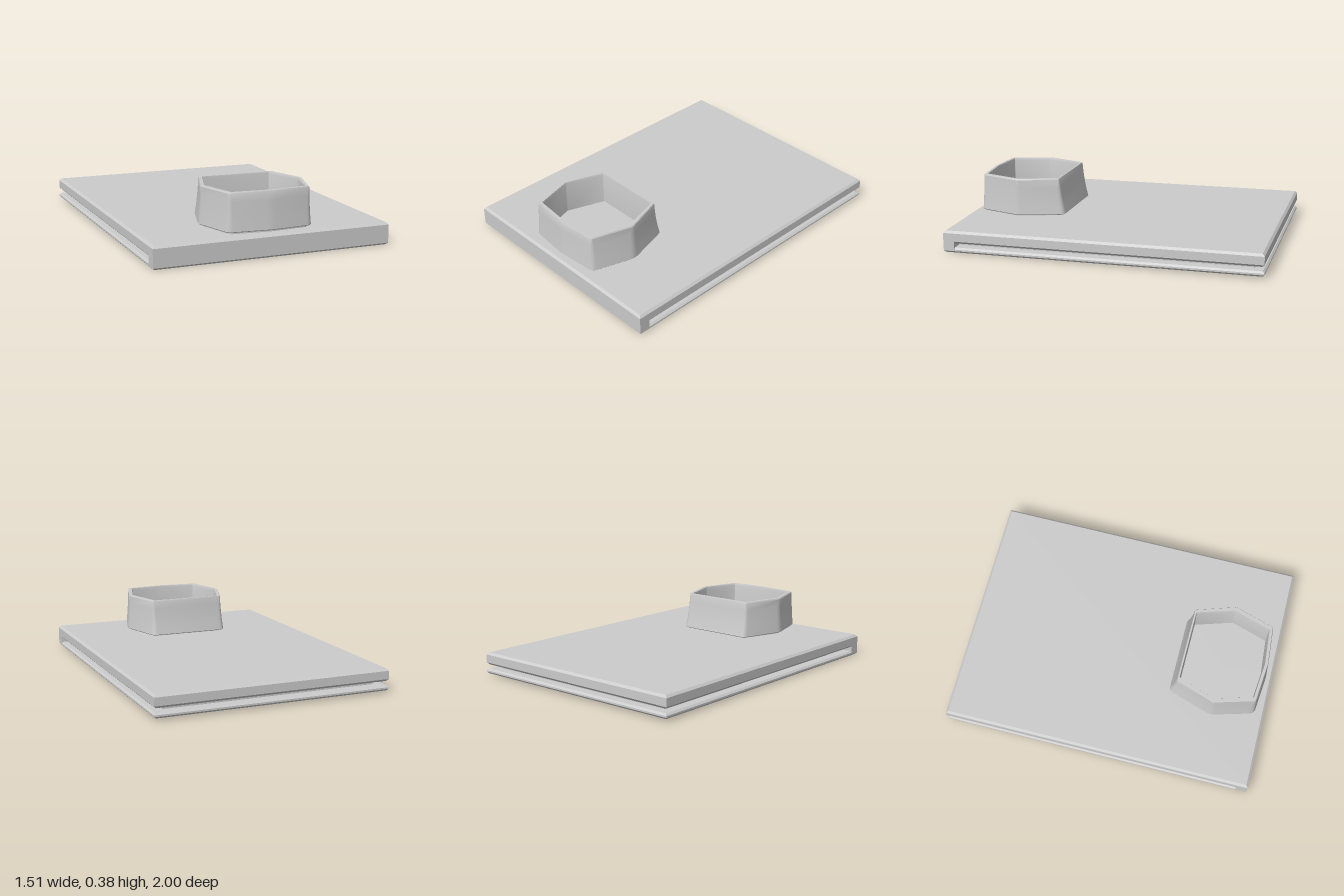
import * as THREE from 'three';
import { toCreasedNormals } from 'three/addons/utils/BufferGeometryUtils.js';

const material = new THREE.MeshStandardMaterial({ color: 0xcccccc });

function addMesh(parent, name, geometry) {
  const mesh = new THREE.Mesh(geometry, material);
  mesh.name = name;
  parent.add(mesh);
  return mesh;
}

// Flat rectangular plate between two heights, with chamfered rims
function plate(width, depth, y0, y1, bevel) {
  const x = width / 2 - bevel, z = depth / 2 - bevel;
  const shape = new THREE.Shape([
    new THREE.Vector2(-x, -z), new THREE.Vector2(x, -z),
    new THREE.Vector2(x, z), new THREE.Vector2(-x, z),
  ]);
  const geometry = new THREE.ExtrudeGeometry(shape, {
    depth: y1 - y0 - 2 * bevel, bevelEnabled: true,
    bevelThickness: bevel, bevelSize: bevel, bevelSegments: 1,
  });
  return geometry.rotateX(-Math.PI / 2).translate(0, y0 + bevel, 0);
}

function box(w, h, d, x, y, z) {
  return new THREE.BoxGeometry(w, h, d).translate(x, y, z);
}

// Cup outline in plan (x, z), measured from the cup's centre
const outline = [
  [-0.255, -0.29], [0.255, -0.29], [0.345, 0], [0.265, 0.27],
  [0, 0.293], [-0.265, 0.27], [-0.345, 0],
].map(([x, z]) => new THREE.Vector2(x, z));

// One closed cross-section: scaled outline with each corner rounded
function ring({ y, sx, back, front, round }) {
  const corners = outline.map(p => new THREE.Vector2(p.x * sx, p.y * (p.y < 0 ? back : front)));
  const points = [];
  corners.forEach((c, i) => {
    const n = corners.length;
    const toward = q => c.clone().add(q.clone().sub(c).setLength(round));
    const curve = new THREE.QuadraticBezierCurve(
      toward(corners[(i + n - 1) % n]), c, toward(corners[(i + 1) % n]));
    curve.getPoints(4).forEach(p => points.push([p.x, y, p.y]));
  });
  return points;
}

// Skin a stack of rings and close both ends with a fan
function loft(sections) {
  const rings = sections.map(ring), n = rings[0].length;
  const positions = rings.flat(2), index = [];
  for (let r = 0; r < rings.length - 1; r++) {
    for (let i = 0; i < n; i++) {
      const a = r * n + i, b = r * n + (i + 1) % n;
      index.push(a, a + n, b, b, a + n, b + n);
    }
  }
  const last = (rings.length - 1) * n, bottom = rings.length * n, top = bottom + 1;
  positions.push(0, sections[0].y, 0, 0, sections.at(-1).y, 0);
  for (let i = 0; i < n; i++) {
    const j = (i + 1) % n;
    index.push(bottom, i, j, top, last + j, last + i);
  }
  const geometry = new THREE.BufferGeometry();
  geometry.setAttribute('position', new THREE.Float32BufferAttribute(positions, 3));
  geometry.setIndex(index);
  return toCreasedNormals(geometry, 0.45);
}

export function createModel() {
  const model = new THREE.Group();
  model.name = 'slabWithCup';

  // Slab, very slightly turned and tilted
  const slab = new THREE.Group();
  slab.name = 'slab';
  slab.rotation.set(0.0075, 0.01, 0);
  slab.position.y = 0.0095;
  model.add(slab);
  addMesh(slab, 'bottomPlate', plate(1.495, 1.985, 0, 0.032, 0.011));
  addMesh(slab, 'topPlate', plate(1.495, 1.985, 0.058, 0.137, 0.014));
  // Recessed core leaves a groove along the sides and back
  addMesh(slab, 'core', box(1.35, 0.06, 1.85, 0, 0.045, 0));
  // Solid strip closes the front
  addMesh(slab, 'frontStrip', box(1.495, 0.112, 0.07, 0, 0.067, 0.9575));

  // Flared, seven-cornered open cup standing on a narrow foot
  const cup = new THREE.Group();
  cup.name = 'cup';
  cup.position.set(0.005, 0, 0.66);
  model.add(cup);
  addMesh(cup, 'foot', loft([
    { y: 0.13, sx: 0.92, back: 0.9, front: 0.92, round: 0.02 },
    { y: 0.158, sx: 0.92, back: 0.9, front: 0.92, round: 0.02 },
  ]));
  addMesh(cup, 'cupWall', loft([
    { y: 0.152, sx: 0.985, back: 0.985, front: 0.985, round: 0.03 },
    { y: 0.157, sx: 1, back: 1.01, front: 1, round: 0.03 },
    { y: 0.21, sx: 0.985, back: 0.965, front: 0.985, round: 0.026 },
    { y: 0.27, sx: 0.972, back: 0.925, front: 0.972, round: 0.022 },
    { y: 0.33, sx: 0.962, back: 0.895, front: 0.96, round: 0.016 },
    { y: 0.378, sx: 0.957, back: 0.875, front: 0.95, round: 0.01 },
    { y: 0.385, sx: 0.945, back: 0.865, front: 0.938, round: 0.006 },
    { y: 0.385, sx: 0.885, back: 0.832, front: 0.88, round: 0.004 },
    { y: 0.375, sx: 0.875, back: 0.825, front: 0.87, round: 0.004 },
    { y: 0.17, sx: 0.875, back: 0.825, front: 0.87, round: 0.004 },
  ]));

  return model;
}
